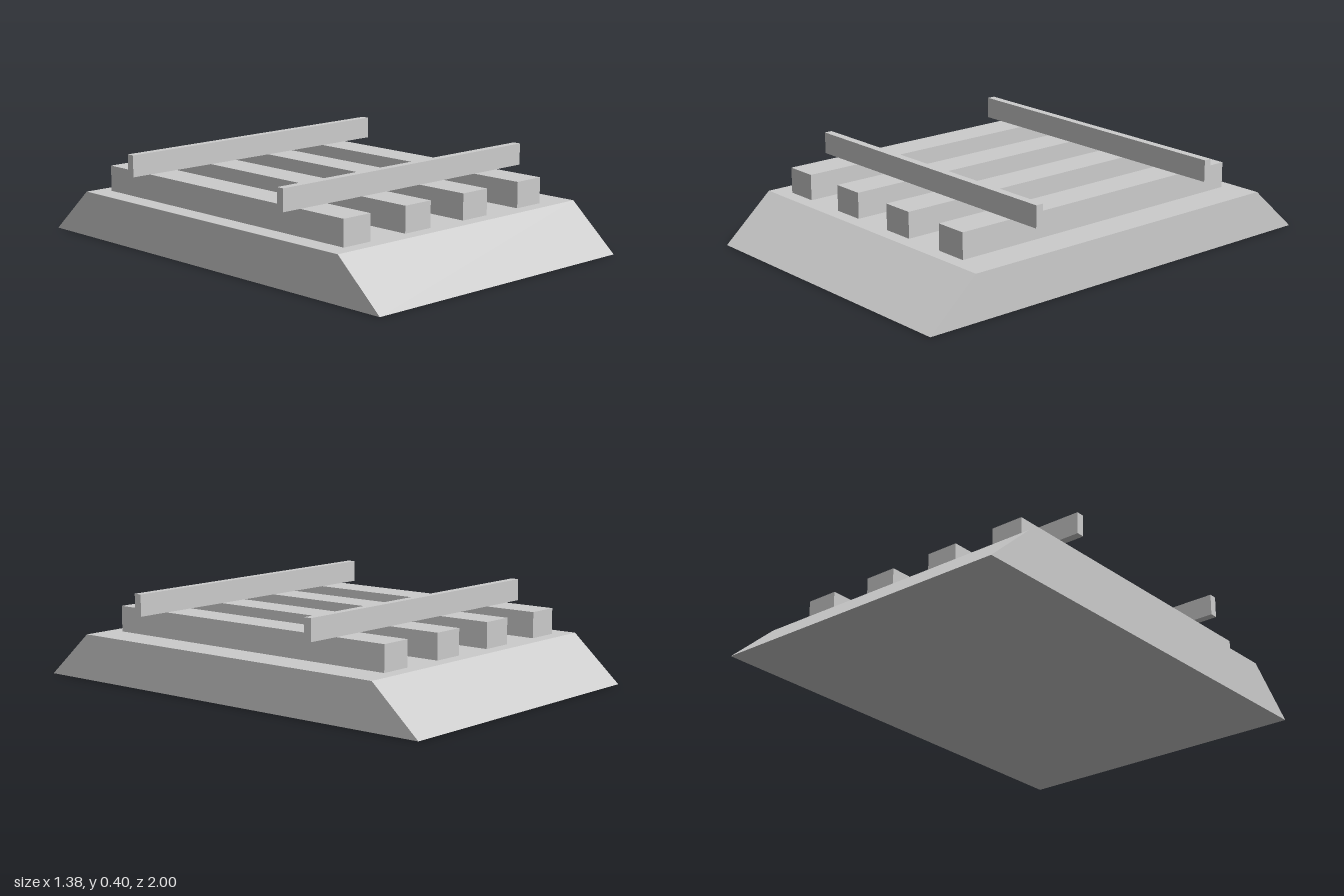
import * as THREE from 'three';

export function createModel() {
  const model = new THREE.Group();
  const grey = new THREE.MeshStandardMaterial({ color: 0xcccccc });
  grey.name = 'light grey';

  const halfWidth = 0.69, bedTop = 0.196, beamTop = 0.307, railTop = 0.4;

  function addBox(name, width, bottom, top, depth, x, z) {
    const mesh = new THREE.Mesh(new THREE.BoxGeometry(width, top - bottom, depth), grey);
    mesh.name = name;
    mesh.position.set(x, (bottom + top) / 2, z);
    model.add(mesh);
  }

  // Bed with sloped front and back: trapezoid extruded across the width
  const profile = new THREE.Shape([
    new THREE.Vector2(-1, 0),
    new THREE.Vector2(1, 0),
    new THREE.Vector2(0.78, bedTop),
    new THREE.Vector2(-0.78, bedTop),
  ]);
  const bedGeometry = new THREE.ExtrudeGeometry(profile, { depth: halfWidth * 2, bevelEnabled: false });
  bedGeometry.translate(0, 0, -halfWidth).rotateY(-Math.PI / 2);
  const bed = new THREE.Mesh(bedGeometry, grey);
  bed.name = 'slopedBed';
  model.add(bed);

  // Four long beams, set slightly to one side
  for (let i = 0; i < 4; i++) {
    addBox('beam', 0.143, bedTop, beamTop, 1.44, -0.53 + i * 0.333, 0);
  }

  // Two thin rails across the beams
  for (const z of [-0.465, 0.463]) {
    addBox('crossRail', halfWidth * 2, beamTop, railTop, 0.035, 0, z);
  }

  return model;
}
